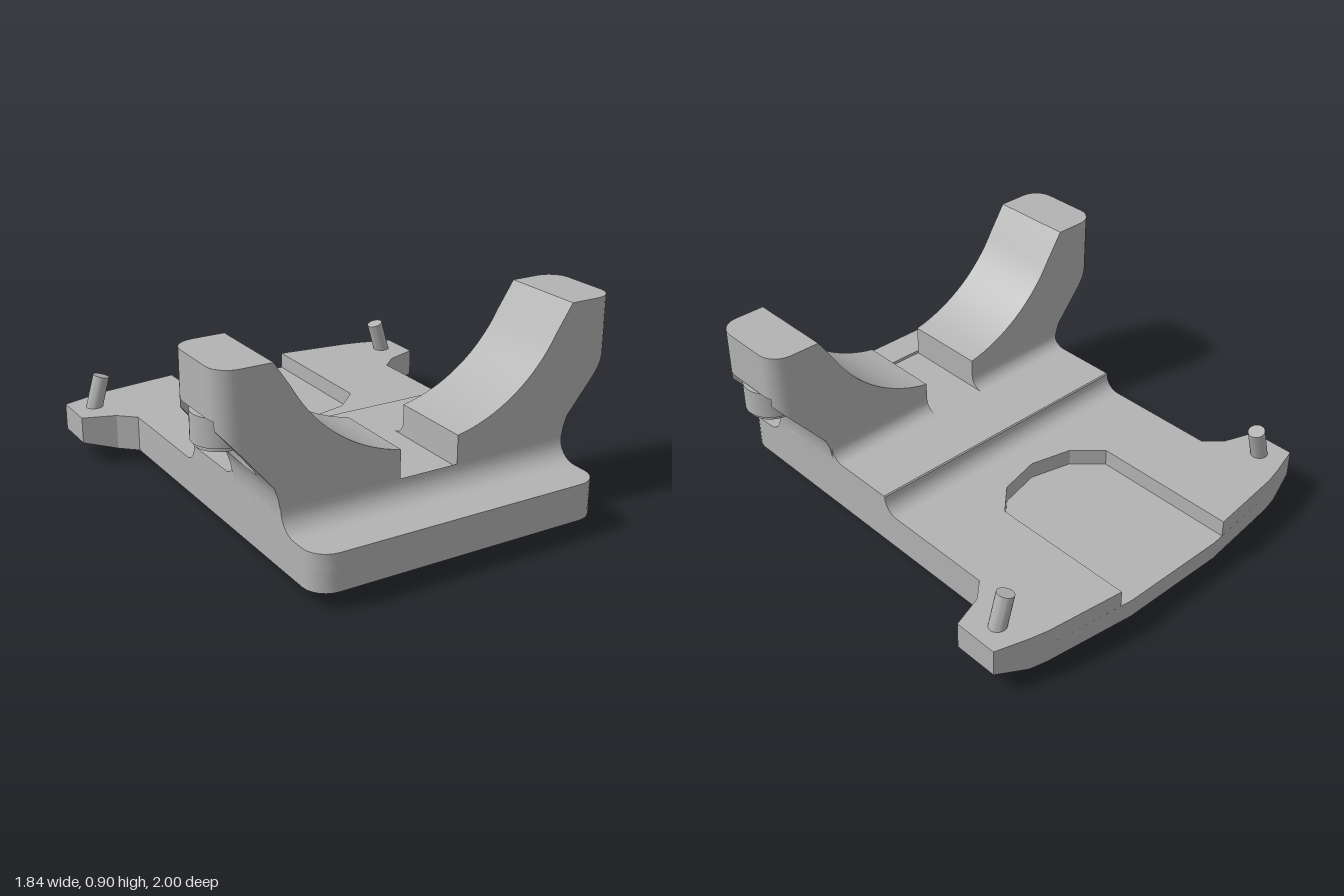
import * as THREE from 'three';
import { toCreasedNormals } from 'three/addons/utils/BufferGeometryUtils.js';

const gray = new THREE.MeshStandardMaterial({ color: 0xb3b3b3 });
gray.name = 'machined gray';

const PLATE_BOTTOM = 0.07, POCKET_FLOOR = 0.155, PLATE_TOP = 0.23, STEP_TOP = 0.305;
const HALF_WIDTH = 0.665, CHANNEL = 0.135;
const ARM_Z = 0.5525, ARM_HALF = 0.1925;

const mirrorOutline = (half) => [...half, ...half.slice().reverse().map(([x, z]) => [-x, z])];
const toShape = (pts) => new THREE.Shape(pts.map(([x, y]) => new THREE.Vector2(x, y)));
const extrude = (shape, depth) =>
  new THREE.ExtrudeGeometry(shape, { depth, bevelEnabled: false, curveSegments: 24 });

// Outline in x, z raised between two heights
function slab(shape, y0, y1) {
  return extrude(shape, y1 - y0).rotateX(Math.PI / 2).translate(0, y1, 0);
}

// Profile in z, y swept across x
function sweepX(pts, x0, x1) {
  return extrude(toShape(pts), x1 - x0).rotateY(-Math.PI / 2).translate(x1, 0, 0);
}

// Quarter-round concave fillet points between two corners
function fillet(cx, cy, r, a0, a1, n = 6) {
  return Array.from({ length: n + 1 }, (_, i) => {
    const a = a0 + ((a1 - a0) * i) / n;
    return [cx + r * Math.cos(a), cy + r * Math.sin(a)];
  });
}

// Right half of the plate outline, from the front centre to the back
function plateHalf() {
  return [
    ...fillet(HALF_WIDTH - 0.1, 0.9, 0.1, Math.PI / 2, 0),
    [HALF_WIDTH, -0.57], [0.74, -0.64], [0.74, -0.932], [0.66, -0.95], [0.25, -1],
  ];
}

// Outer edge of the arm: a slanted underside below a vertical wall
const slantY = (x) => 0.41 + (x - 0.69) * 1.2;

// Cross-section of one arm at distance dz from its middle
function armSection(dz, cut) {
  const r = 0.09, d = Math.max(0, Math.abs(dz) - (ARM_HALF - r));
  const xo = 0.91 - r + Math.sqrt(Math.max(0, r * r - d * d));
  const pts = [[CHANNEL, 0.25]];
  const a0 = Math.asin(CHANNEL / 0.7), a1 = Math.asin(0.61 / 0.7);
  for (let i = 0; i <= 16; i++) {
    const a = a0 + ((a1 - a0) * i) / 16;
    pts.push([0.7 * Math.sin(a), 1.13 - 0.7 * Math.cos(a)]);
  }
  pts.push([0.685, 0.9], [xo, 0.9]);
  if (cut) {
    // round counterbore rising from below
    const xc = Math.max(0.692, 0.82 - Math.sqrt(Math.max(0, 0.14 * 0.14 - dz * dz)));
    pts.push([xo, 0.7], [xc, 0.7], [xc, slantY(xc)]);
  } else {
    for (const t of [1, 0.6, 0.3]) {
      const x = 0.69 + (xo - 0.69) * t;
      pts.push([x, slantY(x)]);
    }
  }
  pts.push([0.69, 0.41], [0.675, 0.365], [HALF_WIDTH, 0.31], [HALF_WIDTH, 0.25]);
  return pts.reverse();
}

// Loft through the cross-sections, closed with end caps
function armGeometry() {
  const outer = [0.1925, 0.189, 0.18, 0.167, 0.152, 0.14].map((d) => [d, false]);
  const inner = [0.14, 0.136, 0.125, 0.105, 0.08, 0.05, 0.025].map((d) => [d, true]);
  const half = [...outer, ...inner];
  const slices = [...half.map(([d, c]) => [-d, c]), [0, true], ...half.slice().reverse()];
  const rings = slices.map(([d, c]) => armSection(d, c).map(([x, y]) => [x, y, d]));
  const pos = [];
  const tri = (a, b, c) => pos.push(...a, ...b, ...c);
  const n = rings[0].length;
  for (let k = 0; k < rings.length - 1; k++) {
    for (let i = 0; i < n; i++) {
      const j = (i + 1) % n, p = rings[k], q = rings[k + 1];
      tri(p[i], p[j], q[j]);
      tri(p[i], q[j], q[i]);
    }
  }
  const first = rings[0], last = rings[rings.length - 1];
  const faces = THREE.ShapeUtils.triangulateShape(first.map(([x, y]) => new THREE.Vector2(x, y)), []);
  for (const [a, b, c] of faces) {
    tri(last[a], last[b], last[c]);
    tri(first[a], first[c], first[b]);
  }
  const g = new THREE.BufferGeometry();
  g.setAttribute('position', new THREE.Float32BufferAttribute(pos, 3));
  return g;
}

export function createModel() {
  const model = new THREE.Group();
  model.name = 'cradleMount';
  const add = (name, geometry, parent = model) => {
    const mesh = new THREE.Mesh(toCreasedNormals(geometry, 0.5), gray);
    mesh.name = name;
    parent.add(mesh);
    return mesh;
  };

  // Base plate in two layers, the upper one notched by the back pocket
  const half = plateHalf();
  add('lowerPlate', slab(toShape(mirrorOutline(half)), PLATE_BOTTOM, POCKET_FLOOR));
  const notched = [...half, [0.305, -0.993], [0.305, -0.33], [0.19, -0.22], [0, -0.175]];
  notched.splice(half.length - 1, 1);
  add('upperPlate', slab(toShape([...notched, ...notched.slice(0, -1).reverse().map(([x, z]) => [-x, z])]),
    POCKET_FLOOR, PLATE_TOP));

  // Raised step with concave fillets at both ends
  add('raisedStep', sweepX([
    [-0.06, 0.2], ...fillet(-0.06, 0.3, 0.07, -Math.PI / 2, 0), [0.015, STEP_TOP],
    [0.745, STEP_TOP], ...fillet(0.835, 0.32, 0.09, Math.PI, Math.PI * 1.5), [0.835, 0.2],
  ], -HALF_WIDTH, HALF_WIDTH));

  for (const side of [1, -1]) {
    const prefix = side > 0 ? 'left' : 'right';

    // Ear with its underside rising toward the tip
    const ear = slab(toShape([[0.74, -0.64], [0.885, -0.69], [0.885, -0.89], [0.74, -0.932]]
      .map(([x, z]) => [x * side, z])), PLATE_BOTTOM, PLATE_TOP);
    const p = ear.attributes.position;
    for (let i = 0; i < p.count; i++) {
      if (p.getY(i) < 0.1 && Math.abs(p.getX(i)) > 0.8) p.setY(i, 0.11);
    }
    add(prefix + 'Ear', ear);

    // Cradle arm; symmetric in depth, so a half turn mirrors it
    const arm = armGeometry();
    if (side < 0) arm.rotateY(Math.PI);
    add(prefix + 'CradleArm', arm.translate(0, 0, ARM_Z));

    // Fillet behind the arm
    const x0 = side > 0 ? CHANNEL : -HALF_WIDTH;
    add(prefix + 'ArmFillet', sweepX([
      [0.38, 0.29], [0.38, 0.365], ...fillet(0.3, 0.365, 0.06, 0, -Math.PI / 2), [0.3, 0.29],
    ], x0, x0 + HALF_WIDTH - CHANNEL));

    // Cap screw in the counterbore, with a hex socket below
    const screw = new THREE.Group();
    screw.name = prefix + 'CapScrew';
    screw.position.set(0.808 * side, 0, ARM_Z);
    const ring = new THREE.Shape().absarc(0, 0, 0.114, 0, Math.PI * 2);
    ring.holes.push(toShape(Array.from({ length: 6 }, (_, i) =>
      [0.068 * Math.cos((i * Math.PI) / 3), 0.068 * Math.sin((i * Math.PI) / 3)])));
    add('screwHead', slab(ring, 0.572, 0.69), screw);
    const rim = new THREE.Shape().absarc(0, 0, 0.102, 0, Math.PI * 2);
    rim.holes.push(ring.holes[0]);
    add('screwRim', slab(rim, 0.555, 0.573), screw);
    add('socketFloor', new THREE.CylinderGeometry(0.1, 0.1, 0.04, 24).translate(0, 0.67, 0), screw);
    model.add(screw);

    // Leaning pin on the ear
    const pin = add(prefix + 'Pin', new THREE.CylinderGeometry(0.037, 0.037, 0.25, 20));
    pin.position.set(0.774 * side, 0.25, -0.8);
    pin.rotation.z = 0.28 * side;

    // Foot under the back edge
    const foot = [[0, 0], [0.065, 0], [0.08, 0.015], [0.08, 0.09], [0, 0.09]]
      .map(([r, y]) => new THREE.Vector2(r, y));
    add(prefix + 'Foot', new THREE.LatheGeometry(foot, 28)).position.set(0.502 * side, 0, -0.84);
  }
  return model;
}
